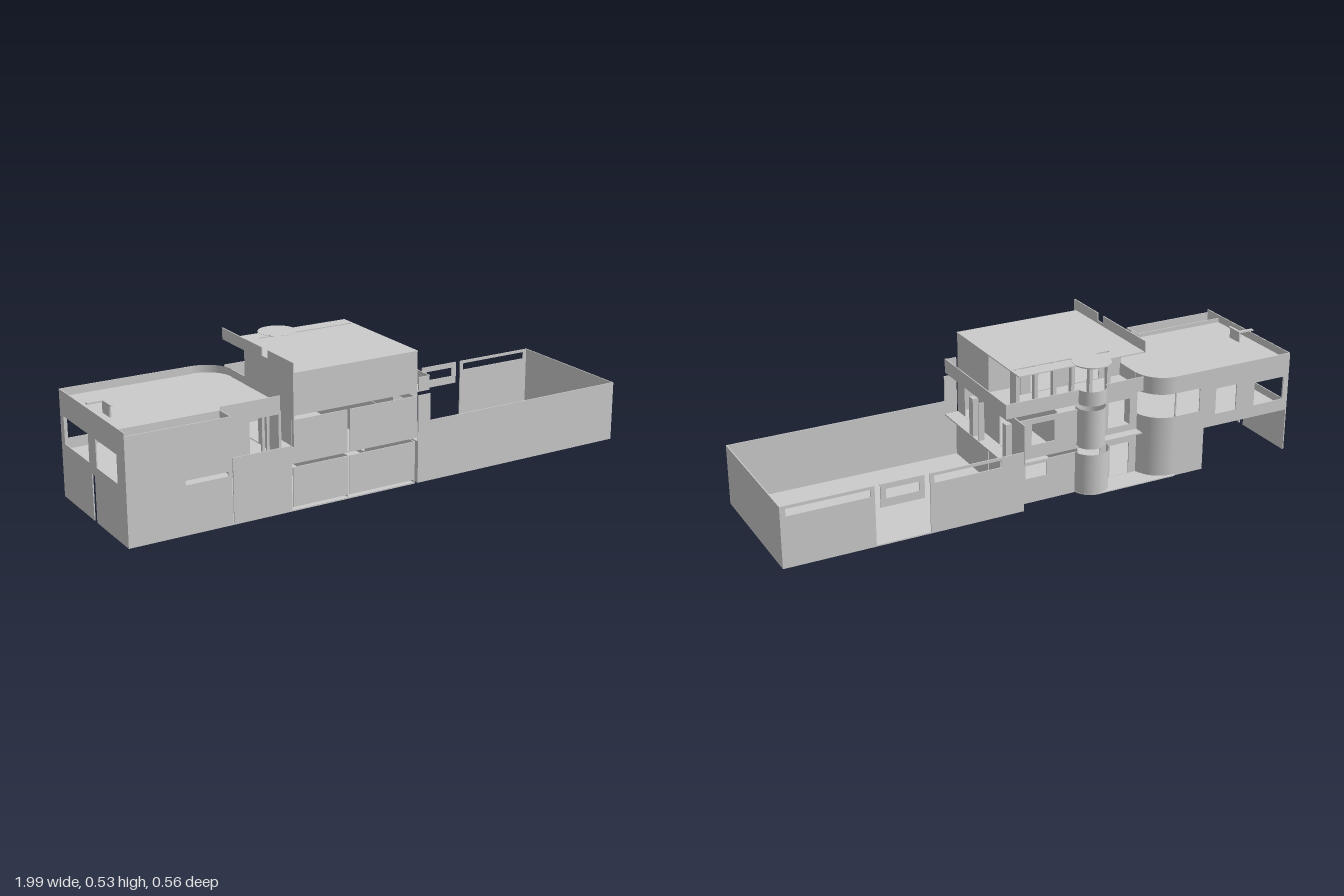
import * as THREE from 'three';

const T = 0.004; // sheet wall thickness

export function createModel() {
  const house = new THREE.Group();
  house.name = 'house';
  const mat = new THREE.MeshStandardMaterial({ color: 0xcccccc, side: THREE.DoubleSide });

  const add = (name, geo) => {
    const m = new THREE.Mesh(geo, mat);
    m.name = name;
    house.add(m);
    return m;
  };
  const box = (name, x0, x1, y0, y1, z0, z1) => {
    const m = add(name, new THREE.BoxGeometry(x1 - x0, y1 - y0, z1 - z0));
    m.position.set((x0 + x1) / 2, (y0 + y1) / 2, (z0 + z1) / 2);
    return m;
  };
  const corners = (u0, u1, v0, v1) => [[u0, v0], [u1, v0], [u1, v1], [u0, v1]].map(p => new THREE.Vector2(...p));

  // Upright sheet from an outline; holes are [u0, u1, y0, y1]
  const sheet = (name, axis, pos, outline, holes = []) => {
    const shape = new THREE.Shape(outline);
    holes.forEach(h => shape.holes.push(new THREE.Path(corners(...h).reverse())));
    const geo = new THREE.ExtrudeGeometry(shape, { depth: T, bevelEnabled: false });
    geo.translate(0, 0, -T / 2);
    if (axis === 'x') geo.rotateY(-Math.PI / 2).translate(pos, 0, 0);
    else geo.translate(0, 0, pos);
    return add(name, geo);
  };
  const wallZ = (name, z, x0, x1, y0, y1, holes) => sheet(name, 'z', z, corners(x0, x1, y0, y1), holes);
  const wallX = (name, x, z0, z1, y0, y1, holes) => sheet(name, 'x', x, corners(z0, z1, y0, y1), holes);

  // Curved wall; angles run from +z towards +x
  const curved = (name, cx, cz, r, y0, y1, a0 = 0, sweep = Math.PI * 2) => {
    const m = add(name, new THREE.CylinderGeometry(r, r, y1 - y0, 32, 1, true, a0, sweep));
    m.position.set(cx, (y0 + y1) / 2, cz);
  };
  // Flat slab from a plan outline in x and z, with its top at y
  const slab = (name, shape, top, thick = T) => {
    const geo = new THREE.ExtrudeGeometry(shape, { depth: thick, bevelEnabled: false, curveSegments: 16 });
    add(name, geo.rotateX(Math.PI / 2).translate(0, top, 0));
  };

  // ---- Walled yard ----
  box('yardFloor', 0.115, 1, 0, 0.005, -0.268, 0.265);
  wallZ('yardFrontWall', 0.263, 0.115, 1, 0.005, 0.225);
  wallX('yardEndWall', 0.998, -0.268, 0.265, 0.005, 0.225);
  wallZ('yardBackWallNear', -0.266, 0.115, 0.47, 0.005, 0.225, [[0.2, 0.455, 0.187, 0.214]]);
  wallZ('yardGatePanel', -0.266, 0.49, 0.65, 0.14, 0.225, [[0.51, 0.63, 0.17, 0.205]]);
  wallZ('yardBackWallFar', -0.266, 0.67, 1, 0.005, 0.225, [[0.685, 0.98, 0.187, 0.214]]);
  wallX('yardHouseWall', 0.117, 0.0, 0.265, 0.005, 0.155);

  // ---- Ground storey ----
  box('groundFloor', -0.62, 0.105, 0, 0.005, -0.22, 0.265);
  const paving = new THREE.Shape();
  paving.moveTo(-0.5, -0.2).lineTo(-0.5, -0.278).lineTo(-0.18, -0.278);
  paving.absarc(-0.18, -0.21, 0.068, -Math.PI / 2, 0, false);
  paving.lineTo(-0.11, -0.2);
  slab('entrancePaving', paving, 0.006);
  wallZ('groundFrontRight', 0.263, -0.165, 0.1, 0.015, 0.157);
  wallZ('groundFrontLeft', 0.263, -0.388, -0.175, 0.015, 0.157);
  wallX('groundRightWall', 0.1, -0.22, 0.265, 0.005, 0.157, [[-0.16, -0.06, 0.02, 0.12]]);
  wallZ('groundBackRight', -0.218, -0.12, 0.105, 0.005, 0.157, [[0.0, 0.085, 0.095, 0.145]]);
  wallZ('groundBackLeft', -0.18, -0.39, -0.24, 0.005, 0.157, [[-0.36, -0.28, 0.006, 0.13]]);
  wallX('groundPartition', -0.17, -0.14, 0.26, 0.005, 0.157);

  // ---- Middle storey ----
  box('middleFloor', -0.39, 0.165, 0.17, 0.175, -0.22, 0.265);
  wallZ('middleFrontLeft', 0.263, -0.395, -0.175, 0.173, 0.324);
  wallZ('middleFrontRight', 0.263, -0.165, 0.11, 0.173, 0.324);
  wallZ('middleFrontScreen', 0.263, 0.115, 0.165, 0.173, 0.324);
  wallX('middleRightWall', 0.108, -0.26, 0.265, 0.173, 0.32,
    [[0.115, 0.205, 0.176, 0.295], [-0.14, -0.073, 0.176, 0.287]]);
  wallX('middlePartition', -0.05, -0.2, 0.26, 0.175, 0.32);
  [[0.03, 0.06], [-0.014, -0.01], [-0.225, -0.2]].forEach(([z0, z1]) =>
    box('middlePillar', 0.14, 0.163, 0.173, 0.32, z0, z1));
  wallZ('middleBackRight', -0.218, -0.12, 0.11, 0.173, 0.32, [[-0.03, 0.06, 0.22, 0.3]]);
  wallZ('middleBackLeft', -0.18, -0.39, -0.24, 0.173, 0.32, [[-0.36, -0.27, 0.2, 0.3]]);

  // ---- Round stair tower ----
  curved('stairTowerBase', -0.18, -0.21, 0.067, 0.005, 0.157, Math.PI * 0.4, Math.PI * 1.1);
  curved('stairTowerMiddle', -0.18, -0.21, 0.053, 0.173, 0.32);
  curved('stairTowerParapet', -0.18, -0.21, 0.055, 0.338, 0.392, Math.PI / 2, Math.PI);
  const disc = add('stairTowerCap', new THREE.CylinderGeometry(0.07, 0.07, T, 40));
  disc.position.set(-0.18, 0.486, -0.21);

  // ---- Top storey and its balcony ----
  box('topFloor', -0.39, 0.16, 0.338, 0.342, -0.22, 0.265);
  wallZ('topFront', 0.263, -0.388, 0.108, 0.338, 0.487);
  wallX('topRightWall', 0.106, 0.015, 0.265, 0.338, 0.485);
  wallX('topRecessWall', 0.02, -0.058, 0.015, 0.338, 0.485);
  wallZ('topRecessReturn', 0.015, 0.02, 0.106, 0.338, 0.485);
  wallZ('topBackWall', -0.058, -0.388, 0.02, 0.338, 0.485, [[-0.3, -0.2, 0.345, 0.46], [-0.12, -0.02, 0.345, 0.46]]);
  for (let i = 0; i < 6; i++) {
    const x = -0.29 + i * 0.073;
    box('terraceColumn', x, x + 0.014, 0.342, 0.485, -0.158, i === 5 ? -0.115 : -0.14);
  }
  wallX('balconyParapet', 0.158, -0.22, 0.265, 0.338, 0.392);
  wallZ('balconyFrontParapet', 0.263, 0.115, 0.158, 0.342, 0.39);
  wallZ('terraceParapetRight', -0.218, -0.125, 0.158, 0.338, 0.392);
  wallZ('terraceParapetLeft', -0.218, -0.39, -0.235, 0.338, 0.392);
  const roof = new THREE.Shape(corners(-0.39, 0.11, -0.22, 0.265));
  roof.holes.push(new THREE.Path(corners(-0.28, 0.1, -0.164, -0.154).reverse()));
  slab('topRoof', roof, 0.487);

  // Tall divider fin, notched along the top
  sheet('dividerFin', 'x', -0.391, [
    [0.28, 0.235], [0.28, 0.527], [0.107, 0.527], [0.107, 0.498], [0.067, 0.498], [0.067, 0.527],
    [-0.223, 0.527], [-0.223, 0.485], [-0.06, 0.485], [-0.06, 0.338], [0.195, 0.338], [0.195, 0.235],
  ].map(p => new THREE.Vector2(...p)));

  // ---- Wing with a rounded back corner over an open carport ----
  const plan = new THREE.Shape();
  plan.moveTo(-0.99, 0.188).lineTo(-0.99, -0.27).lineTo(-0.495, -0.27);
  plan.absarc(-0.495, -0.165, 0.105, -Math.PI / 2, 0, false);
  plan.lineTo(-0.39, 0.188);
  slab('wingFloor', plan, 0.172, 0.008);
  slab('wingRoof', plan, 0.362);
  wallZ('wingFrontWall', 0.263, -0.99, -0.617, 0, 0.378, [[-0.785, -0.63, 0.174, 0.19]]);
  box('wingFrontLedge', -0.78, -0.617, 0.166, 0.172, 0.188, 0.262);
  wallX('wingSideReturn', -0.617, 0.188, 0.265, 0.172, 0.378);
  wallZ('wingRoofEdge', 0.188, -0.99, -0.617, 0.34, 0.378);
  wallX('wingSideWall', -0.99, -0.27, 0.265, 0.166, 0.39, [[-0.24, -0.03, 0.2, 0.3], [0.03, 0.2, 0.2, 0.3]]);
  wallX('carportSideBack', -0.99, -0.27, -0.012, 0, 0.166);
  wallX('carportSideFront', -0.99, 0.012, 0.265, 0, 0.166);
  wallX('carportInnerWall', -0.622, -0.268, 0.263, 0, 0.166);
  wallZ('wingGroundBack', -0.268, -0.622, -0.495, 0, 0.166);
  box('wingGroundFloor', -0.62, -0.495, 0, 0.005, -0.268, -0.22);
  wallZ('wingBackWall', -0.268, -0.99, -0.495, 0.172, 0.39,
    [[-0.97, -0.84, 0.21, 0.3], [-0.76, -0.67, 0.21, 0.31], [-0.6, -0.5, 0.235, 0.325]]);
  [[0, 0.166], [0.172, 0.235], [0.325, 0.39]].forEach(([y0, y1]) => {
    curved('wingRoundCorner', -0.495, -0.165, 0.105, y0, y1, Math.PI / 2, Math.PI / 2);
  });
  wallX('wingInnerSide', -0.39, -0.165, 0.188, 0.172, 0.39, [[-0.1, 0.03, 0.175, 0.3]]);

  // Small front balcony between wing and tower
  wallZ('frontBalconyWall', 0.263, -0.613, -0.393, 0.003, 0.235);
  box('frontBalconyFloor', -0.613, -0.39, 0.166, 0.172, 0.188, 0.262);
  wallZ('frontBalconyBack', 0.188, -0.613, -0.393, 0.172, 0.39, [[-0.51, -0.4, 0.19, 0.325]]);
  [-0.463, -0.445].forEach(x => box('frontBalconyPost', x, x + 0.01, 0.172, 0.33, 0.18, 0.19));

  // Rooftop corner shelter
  box('shelterTop', -0.99, -0.925, 0.4, 0.406, -0.04, -0.028);
  box('shelterTopReturn', -0.935, -0.925, 0.4, 0.406, -0.028, 0.03);
  box('shelterWall', -0.935, -0.929, 0.362, 0.4, -0.035, 0.025);

  return house;
}
